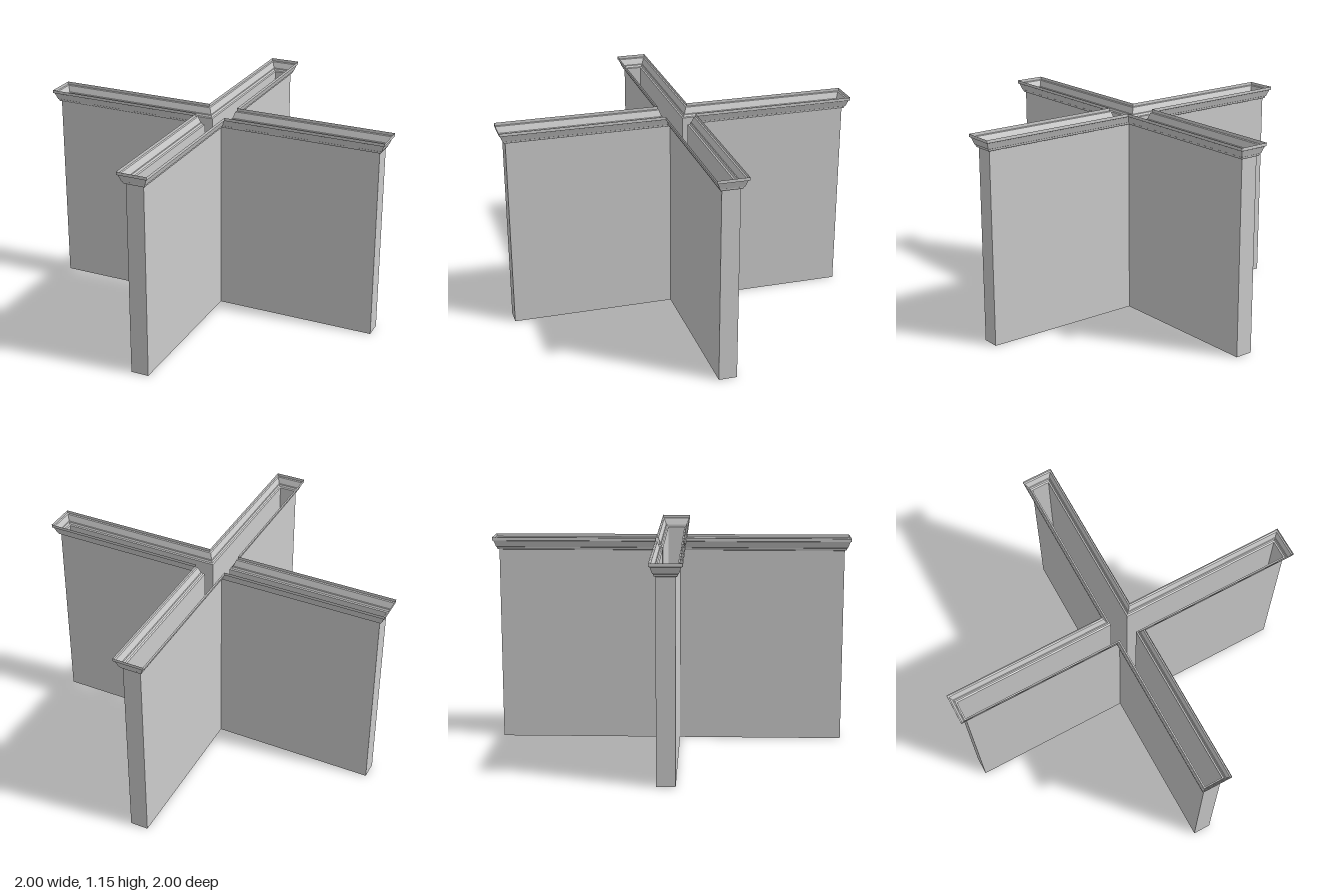
import * as THREE from 'three';

const HALF_THICK = 0.05, HALF_LENGTH = 0.965;

// Plus-shaped outline, pushed outward by d, counter-clockwise from above
function plusOutline(d) {
  const a = HALF_THICK + d, l = HALF_LENGTH + d;
  const points = [];
  for (let i = 0; i < 4; i++) {
    const c = Math.round(Math.cos(i * Math.PI / 2)), s = Math.round(Math.sin(i * Math.PI / 2));
    for (const [x, z] of [[l, -a], [l, a], [a, a]]) points.push([x * c - z * s, x * s + z * c]);
  }
  return points;
}

// Sweep a profile of [outward offset, height] around the outline as an open sheet
function sweep(name, profile, material) {
  const positions = [];
  for (let k = 0; k < profile.length - 1; k++) {
    const [d0, y0] = profile[k], [d1, y1] = profile[k + 1];
    const low = plusOutline(d0), high = plusOutline(d1);
    for (let i = 0; i < low.length; i++) {
      const j = (i + 1) % low.length;
      const a = [low[i][0], y0, low[i][1]], b = [low[j][0], y0, low[j][1]];
      const c = [high[j][0], y1, high[j][1]], e = [high[i][0], y1, high[i][1]];
      positions.push(...a, ...c, ...b, ...a, ...e, ...c);
    }
  }
  const geometry = new THREE.BufferGeometry();
  geometry.setAttribute('position', new THREE.Float32BufferAttribute(positions, 3));
  geometry.computeVertexNormals();
  const mesh = new THREE.Mesh(geometry, material);
  mesh.name = name;
  return mesh;
}

export function createModel() {
  const group = new THREE.Group();
  group.name = 'crossWall';
  const material = new THREE.MeshStandardMaterial({ color: 0xcccccc, flatShading: true, side: THREE.DoubleSide });

  // Hollow wall, open at top and bottom
  group.add(sweep('wall', [[0, 0], [0, 1.083]], material));

  // Flared moulding along the top edge
  group.add(sweep('cornice', [
    [0, 1.083], [0.008, 1.086], [0.011, 1.092], [0.012, 1.098], [0.016, 1.1],
    [0.021, 1.115], [0.028, 1.135], [0.035, 1.138], [0.035, 1.155],
  ], material));
  return group;
}
